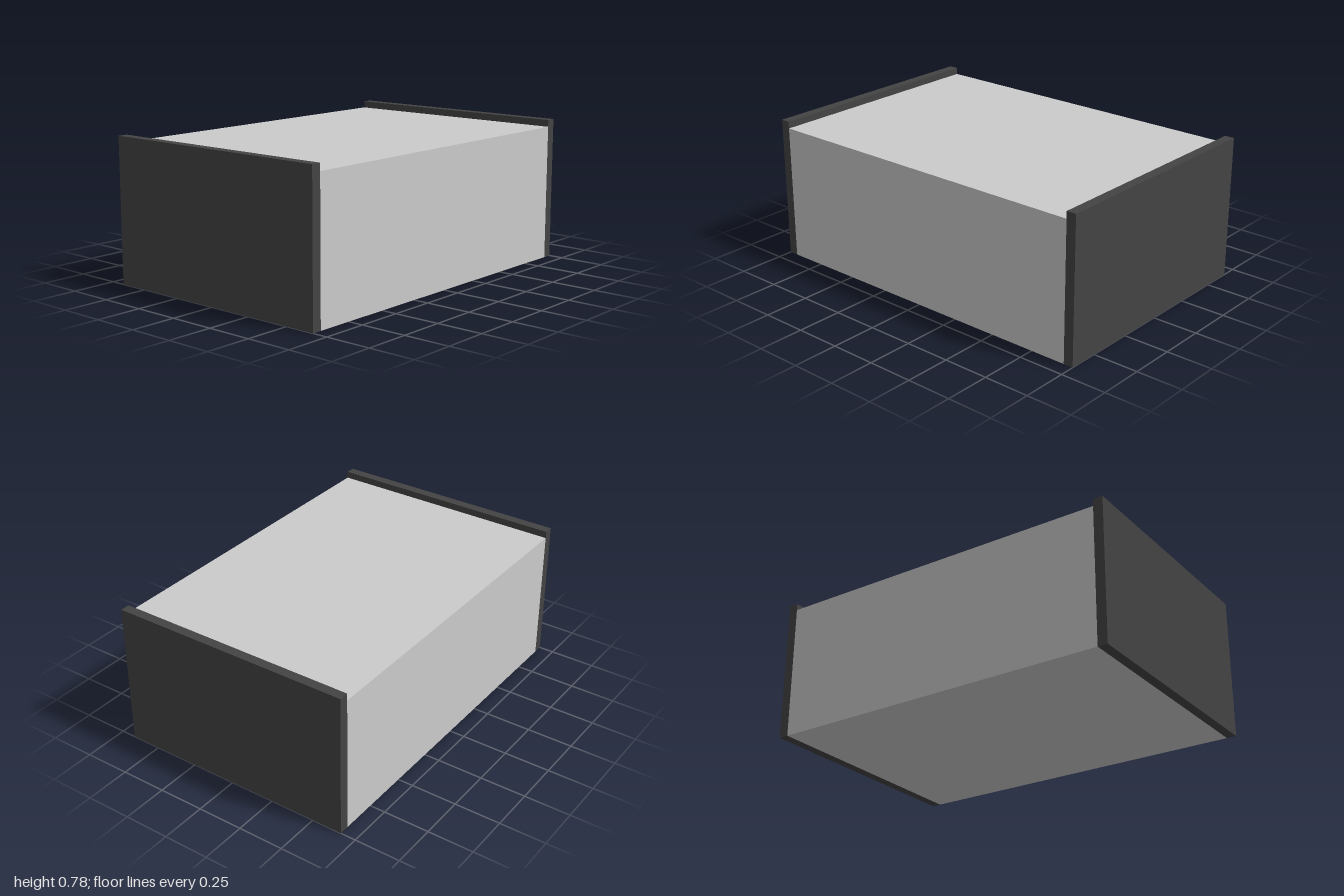
import * as THREE from 'three';

const DEPTH = 1.333, PANEL_THICKNESS = 0.053, PANEL_HEIGHT = 0.782, BODY_HEIGHT = 0.744;

// Box standing on y = 0
function standingBox(name, width, height, x, material) {
  const mesh = new THREE.Mesh(new THREE.BoxGeometry(width, height, DEPTH), material);
  mesh.name = name;
  mesh.position.set(x, height / 2, 0);
  return mesh;
}

export function createModel() {
  const group = new THREE.Group();
  group.name = 'cabinet';
  const grey = new THREE.MeshStandardMaterial({ color: 0xcccccc });
  const dark = new THREE.MeshStandardMaterial({ color: 0x444444 });

  // Plain body between the end panels
  group.add(standingBox('body', 2 - 2 * PANEL_THICKNESS, BODY_HEIGHT, 0, grey));

  // Slightly taller dark end panels
  for (const side of [-1, 1]) {
    const name = side > 0 ? 'leftPanel' : 'rightPanel';
    group.add(standingBox(name, PANEL_THICKNESS, PANEL_HEIGHT, side * (1 - PANEL_THICKNESS / 2), dark));
  }
  return group;
}
